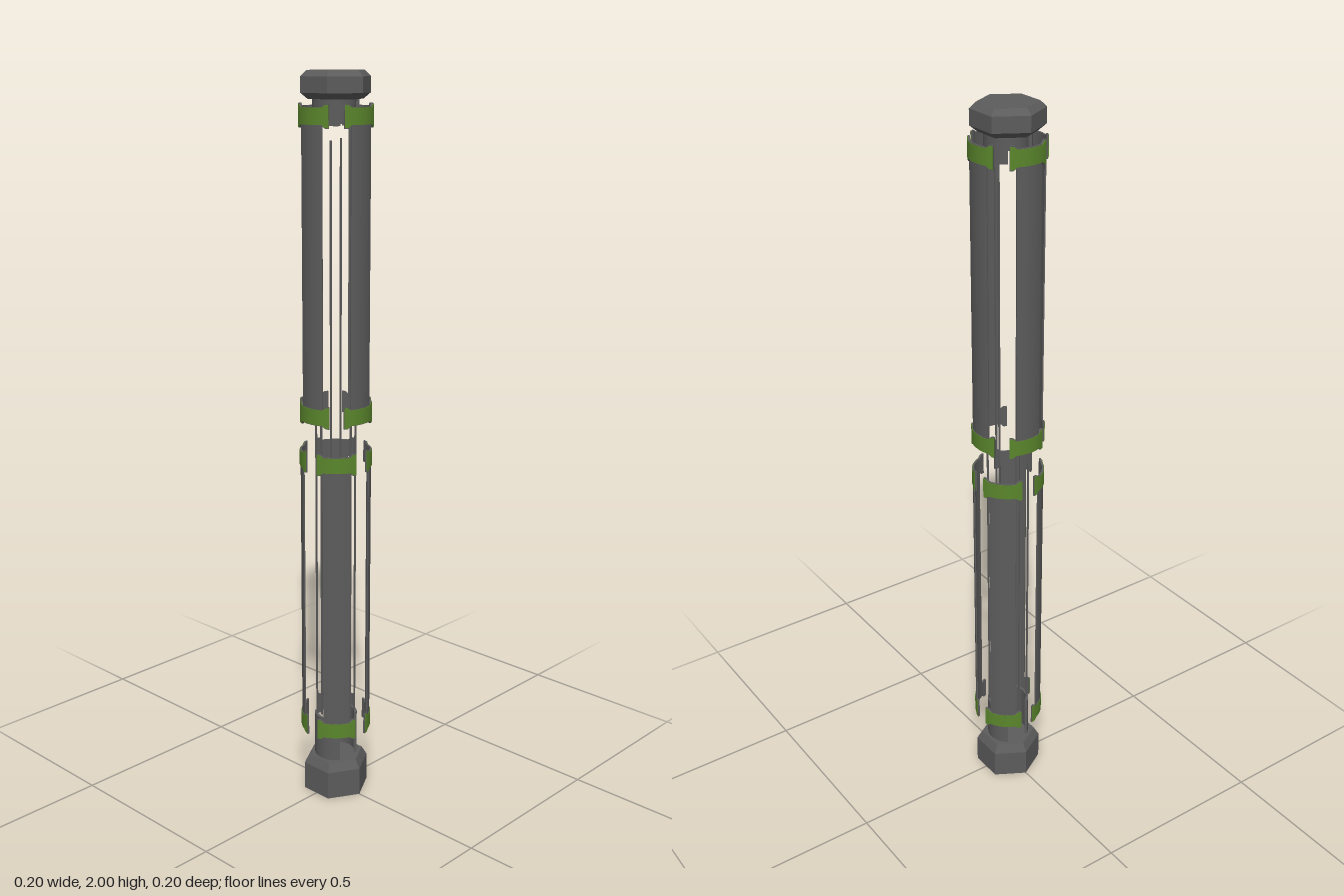
import * as THREE from 'three';

const grey = new THREE.MeshStandardMaterial({ color: 0x5c5c5c });
grey.name = 'dark grey';
const green = new THREE.MeshStandardMaterial({ color: 0x5a862c });
green.name = 'olive green';

// Plate wrapped round the y axis, centred on +z; waist narrows the height in the middle
function curvedPlate(radius, thickness, halfAngle, y0, y1, waist = 1) {
  const geo = new THREE.BoxGeometry(2, 1, 1, 12, 1, 1);
  const p = geo.attributes.position;
  for (let i = 0; i < p.count; i++) {
    const u = p.getX(i);
    const r = radius + (p.getZ(i) - 0.5) * thickness;
    const k = Math.abs(u) < 0.7 ? waist : 1;
    const a = u * halfAngle;
    p.setXYZ(i, Math.sin(a) * r, (y0 + y1) / 2 + p.getY(i) * (y1 - y0) * k, Math.cos(a) * r);
  }
  geo.computeVertexNormals();
  return geo;
}

// Six-sided faceted solid with corners on the x axis
function hexSolid(points) {
  const profile = points.map(([r, y]) => new THREE.Vector2(r, y));
  const geo = new THREE.LatheGeometry(profile, 6, Math.PI / 6).toNonIndexed();
  geo.computeVertexNormals();
  return geo;
}

function add(parent, name, geometry, material) {
  const mesh = new THREE.Mesh(geometry, material);
  mesh.name = name;
  parent.add(mesh);
  return mesh;
}

export function createModel() {
  const model = new THREE.Group();
  model.name = 'slottedBaton';

  // Hexagonal end caps
  add(model, 'bottomCap', hexSolid([[0, 0], [0.093, 0], [0.093, 0.08], [0.078, 0.105], [0, 0.105]]), grey);
  add(model, 'topCap', hexSolid([[0, 1.93], [0.074, 1.93], [0.093, 1.945], [0.093, 1.985], [0.077, 2], [0, 2]]), grey);

  // Front and back halves of the collars next to the caps
  for (const turn of [0, Math.PI]) {
    add(model, 'bottomCollar', curvedPlate(0.06, 0.008, 0.96, 0.1, 0.23), grey).rotation.y = turn;
    add(model, 'topCollar', curvedPlate(0.06, 0.008, 0.96, 1.865, 1.935), grey).rotation.y = turn;
  }

  // Thin inner rods in a hexagon
  for (let i = 0; i < 6; i++) {
    const a = i * Math.PI / 3;
    const rod = add(model, 'innerRod', new THREE.BoxGeometry(0.004, 1.63, 0.004), grey);
    rod.position.set(Math.cos(a) * 0.055, 1.015, Math.sin(a) * 0.055);
  }

  // Two rings of four curved panels, the lower ring turned by an eighth
  const rings = [
    { name: 'upper', y0: 1.09, y1: 1.92, turn: 0 },
    { name: 'lower', y0: 0.185, y1: 1.02, turn: Math.PI / 4 },
  ];
  for (const { name, y0, y1, turn } of rings) {
    for (let i = 0; i < 4; i++) {
      const panel = new THREE.Group();
      panel.name = name + 'Panel';
      panel.rotation.y = turn + i * Math.PI / 2;
      add(panel, 'panelStrip', curvedPlate(0.0955, 0.004, 0.39, y0 + 0.01, y1 - 0.01), grey);

      // Waisted end bands with a green outer skin
      for (const y of [y0, y1 - 0.06]) {
        add(panel, 'bandBacking', curvedPlate(0.0965, 0.005, 0.58, y, y + 0.06, 0.75), grey);
        add(panel, 'bandSkin', curvedPlate(0.098, 0.0015, 0.575, y + 0.002, y + 0.058, 0.75), green);
      }
      model.add(panel);
    }
  }
  return model;
}
